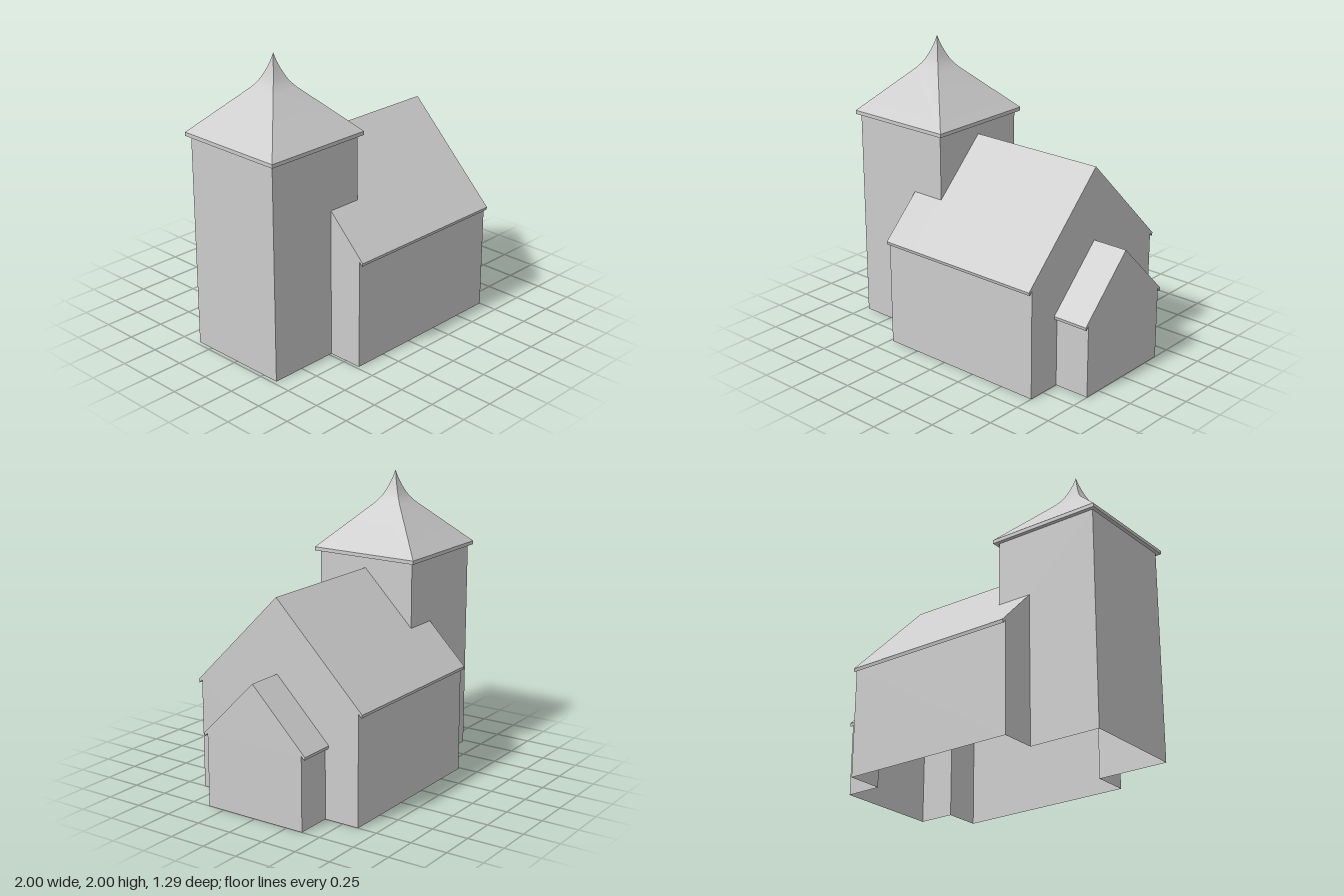
import * as THREE from 'three';
import { toCreasedNormals } from 'three/addons/utils/BufferGeometryUtils.js';

export function createModel() {
  const model = new THREE.Group();
  model.name = 'church';
  const stone = new THREE.MeshStandardMaterial({ color: 0xcccccc, side: THREE.DoubleSide });
  stone.name = 'pale grey';

  function add(parent, name, geometry) {
    const mesh = new THREE.Mesh(geometry, stone);
    mesh.name = name;
    parent.add(mesh);
    return mesh;
  }
  function part(name) {
    const group = new THREE.Group();
    group.name = name;
    model.add(group);
    return group;
  }
  const flat = (pts) => new THREE.ShapeGeometry(new THREE.Shape(pts.map(([a, b]) => new THREE.Vector2(a, b))));

  // Flat wall across the x axis, outlined in (z, y); dir is the side it faces
  function endWall(parent, name, pts, x, dir) {
    const mesh = add(parent, name, flat(pts));
    mesh.rotation.y = dir * Math.PI / 2;
    mesh.position.x = x;
  }
  // Sheet swept along x from a (z, y) profile running back to front
  function sweep(parent, name, profile, x0, x1) {
    const pos = [];
    for (let i = 0; i < profile.length - 1; i++) {
      const [az, ay] = profile[i], [bz, by] = profile[i + 1];
      pos.push(x0, ay, az, x0, by, bz, x1, by, bz, x0, ay, az, x1, by, bz, x1, ay, az);
    }
    const g = new THREE.BufferGeometry();
    g.setAttribute('position', new THREE.Float32BufferAttribute(pos, 3));
    g.computeVertexNormals();
    add(parent, name, g);
  }
  const mirror = (pts) => pts.map(([z, y]) => [-z, y]).reverse();

  const T = 0.3675;                       // half width of tower and chancel
  const towerX = -0.6075, towerL = -0.975, towerR = -0.24, towerTop = 1.46;
  const naveL = -0.48, naveR = 0.75, naveTop = 1.385;
  const chancelTop = 0.89;
  const cut = naveTop - T;                // nave roof height at the tower sides

  // Eave: slope end, fascia, then underside back to the wall
  const naveEave = [[0.643, 0.742], [0.637, 0.72], [0.615, 0.745]];
  const chancelEave = [[0.395, 0.495], [0.39, 0.473], [T, 0.497]];
  const naveHalf = [[0, naveTop], ...naveEave];
  const chancelHalf = [[0, chancelTop], ...chancelEave];
  const gable = (half) => {
    const w = half[half.length - 1][0];
    return [[-w, 0], ...mirror(half), ...half.slice(1), [w, 0]];
  };

  // Nave: the roof is cut away where the tower stands in it
  const nave = part('nave');
  sweep(nave, 'naveRoof', [...mirror(naveHalf), ...naveHalf.slice(1)], towerR, naveR);
  const besideTower = [[T, cut], ...naveEave];
  sweep(nave, 'naveRoofFrontOfTower', besideTower, naveL, towerR);
  sweep(nave, 'naveRoofBehindTower', mirror(besideTower), naveL, towerR);
  sweep(nave, 'naveFrontWall', [[0.615, 0.745], [0.615, 0]], naveL, naveR);
  sweep(nave, 'naveBackWall', [[-0.615, 0], [-0.615, 0.745]], naveL, naveR);
  const shoulder = [[T, 0], [T, cut], ...naveEave, [0.615, 0]];
  endWall(nave, 'naveFrontShoulder', shoulder, naveL, -1);
  endWall(nave, 'naveBackShoulder', mirror(shoulder), naveL, -1);
  // Gable with the opening to the chancel
  endWall(nave, 'naveGable',
    [...gable(naveHalf), [T, 0], [T, chancelTop - T], [0, chancelTop], [-T, chancelTop - T], [-T, 0]], naveR, 1);

  // Chancel
  const chancel = part('chancel');
  sweep(chancel, 'chancelRoof', [...mirror(chancelHalf), ...chancelHalf.slice(1)], naveR, 1);
  sweep(chancel, 'chancelFrontWall', [[T, 0.497], [T, 0]], naveR, 1);
  sweep(chancel, 'chancelBackWall', [[-T, 0], [-T, 0.497]], naveR, 1);
  endWall(chancel, 'chancelGable', gable(chancelHalf), 1, 1);

  // Tower walls, stepped over the nave roof
  const tower = part('tower');
  const side = [[towerL, 0], [naveL, 0], [naveL, cut], [towerR, cut], [towerR, towerTop], [towerL, towerTop]];
  add(tower, 'towerFrontWall', flat(side)).position.z = T;
  const back = add(tower, 'towerBackWall', flat(side.map(([x, y]) => [-x, y])));
  back.rotation.y = Math.PI;
  back.position.z = -T;
  endWall(tower, 'towerOuterWall', [[-T, 0], [T, 0], [T, towerTop], [-T, towerTop]], towerL, -1);
  endWall(tower, 'towerInnerWall',
    [[-T, cut], [0, naveTop], [T, cut], [T, towerTop], [-T, towerTop]], towerR, 1);

  // Tower roof: soffit, fascia, straight slope, then a concave spire
  const spire = new THREE.SplineCurve([[0.1, 1.78], [0.066, 1.825], [0.037, 1.885], [0.015, 1.945], [0, 2]]
    .map(([r, y]) => new THREE.Vector2(r, y))).getPoints(12);
  const profile = [[T, towerTop], [0.395, towerTop], [0.395, 1.485]]
    .map(([r, y]) => new THREE.Vector2(r, y)).concat(spire);
  profile.forEach((p) => { p.x = Math.max(0, p.x) * Math.SQRT2; });
  const roof = add(tower, 'towerRoof',
    toCreasedNormals(new THREE.LatheGeometry(profile, 4, Math.PI / 4), 0.4));
  roof.position.x = towerX + 0.0025;

  return model;
}
